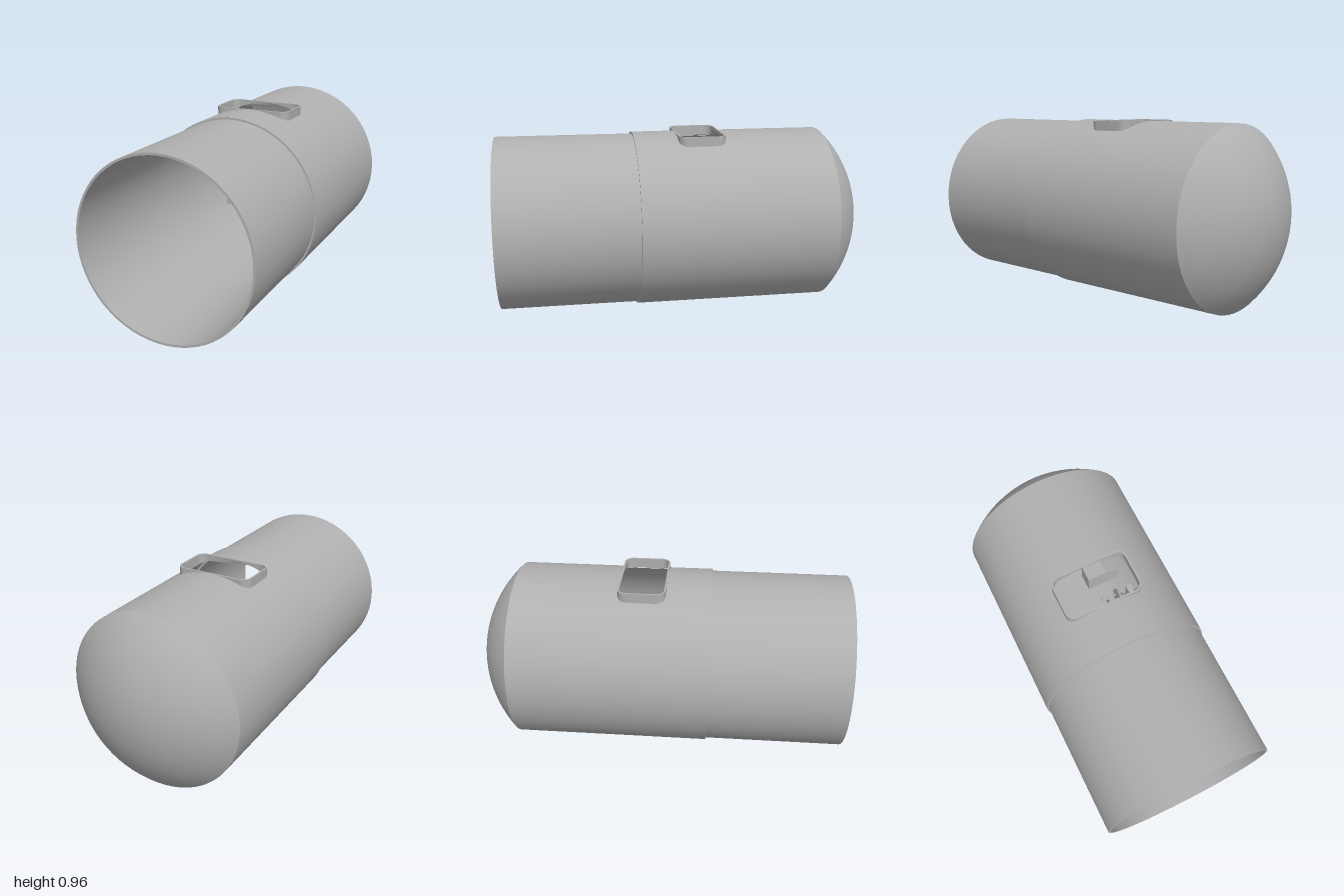
import * as THREE from 'three';
import { mergeGeometries, toCreasedNormals } from 'three/addons/utils/BufferGeometryUtils.js';

const AXIS_Y = 0.4825, R_OUT = 0.482, R_MID = 0.472, R_IN = 0.46;
const Z_BACK = -0.79, Z_STEP = 0.26;
const HATCH = { z: -0.1025, w: 0.215, d: 0.1275, r: 0.05 };

const grey = new THREE.MeshStandardMaterial({ color: 0xb0b0b0 });
grey.name = 'grey metal';

function add(parent, name, geometry, x = 0, y = 0, z = 0) {
  const mesh = new THREE.Mesh(geometry, grey);
  mesh.name = name;
  mesh.position.set(x, y, z);
  parent.add(mesh);
  return mesh;
}

// Profile of [radius, distance] turned around the z axis
function turned(profile, segments = 64) {
  const points = profile.map(([r, d]) => new THREE.Vector2(r, d));
  return toCreasedNormals(new THREE.LatheGeometry(points, segments).rotateX(Math.PI / 2), 0.6);
}

// Sample positions across the rounded hatch, denser in the corners
function hatchXs(w, r) {
  const xs = [];
  for (let i = 0; i <= 8; i++) xs.push(-w + r - r * Math.cos((i / 8) * Math.PI / 2));
  for (let i = 1; i < 20; i++) xs.push((w - r) * (i / 10 - 1));
  return [...xs, ...xs.slice(0, 9).reverse().map((x) => -x)];
}

function hatchDepth(x, w, d, r) {
  const k = Math.max(0, Math.abs(x) - (w - r));
  return d - r + Math.sqrt(Math.max(0, r * r - k * k));
}

// Cylinder wall before or behind the hatch, with the hatch cut away
function wall(radius, front, inward) {
  const { z, w, d, r } = HATCH;
  const cols = hatchXs(w, r).map((x) => ({ t: Math.asin(x / radius), h: hatchDepth(x, w, d, r) }));
  const edge = Math.asin(w / radius);
  for (let i = 0; i <= 60; i++) {
    cols.push({ t: edge + (i / 60) * (2 * Math.PI - 2 * edge), h: 0 });
  }
  const geo = new THREE.PlaneGeometry(1, 1, cols.length - 1, 1);
  const { position, normal } = geo.attributes;
  const sign = inward ? -1 : 1;
  cols.forEach(({ t, h }, i) => {
    const ends = front ? [z + h, Z_STEP] : [Z_BACK, z - h];
    if (inward) ends.reverse();
    ends.forEach((endZ, row) => {
      const k = row * cols.length + i;
      position.setXYZ(k, radius * Math.sin(t), radius * Math.cos(t), endZ);
      normal.setXYZ(k, sign * Math.sin(t), sign * Math.cos(t), 0);
    });
  });
  return geo;
}

function hatchOutline(inset) {
  const w = HATCH.w - inset, d = HATCH.d - inset, r = HATCH.r - inset;
  const xs = hatchXs(w, r);
  const lower = xs.map((x) => new THREE.Vector2(x, -hatchDepth(x, w, d, r)));
  const upper = xs.map((x) => new THREE.Vector2(x, hatchDepth(x, w, d, r))).reverse();
  return [...lower, ...upper];
}

// Flat-topped rim whose lower edge follows the curved hull
function hatchRim() {
  const shape = new THREE.Shape(hatchOutline(0));
  shape.holes.push(new THREE.Path(hatchOutline(0.01)));
  const geo = new THREE.ExtrudeGeometry(shape, { depth: 1, bevelEnabled: false });
  geo.rotateX(-Math.PI / 2);
  const p = geo.attributes.position;
  for (let i = 0; i < p.count; i++) {
    const hullY = AXIS_Y + Math.sqrt((R_MID + 0.002) ** 2 - p.getX(i) ** 2);
    p.setY(i, p.getY(i) > 0.5 ? 0.965 : hullY);
  }
  return toCreasedNormals(geo, 0.6);
}

// Coupling lying along x, seen through the hatch
function makeCoupling() {
  const group = new THREE.Group();
  group.name = 'coupling';
  group.position.set(0, 0.453, -0.125);
  const rod = (name, x0, x1, r, y = 0, z = 0, sides = 32) =>
    add(group, name, new THREE.CylinderGeometry(r, r, x1 - x0, sides).rotateZ(Math.PI / 2), (x0 + x1) / 2, y, z);

  // Ribbed end
  rod('ribbedCore', -0.049, 0.05, 0.038);
  rod('ribbedMiddle', -0.016, 0.016, 0.041);
  for (let i = 0; i < 5; i++) {
    for (const x of [-0.05 + i * 0.007, 0.019 + i * 0.007]) rod('rib', x, x + 0.004, 0.043);
  }
  // Neck, flanges and barrel
  rod('neck', 0.05, 0.06, 0.028);
  rod('neckCollar', 0.06, 0.1, 0.037);
  rod('smallFlange', 0.1, 0.112, 0.06);
  rod('shaft', 0.112, 0.163, 0.025);
  rod('largeFlange', 0.163, 0.175, 0.1);
  rod('barrelCollar', 0.175, 0.2, 0.065);
  rod('barrel', 0.2, 0.34, 0.053);
  // Long bolts around the flange
  for (let i = 0; i < 4; i++) {
    const a = (i * Math.PI) / 2;
    const y = 0.077 * Math.sin(a), z = 0.077 * Math.cos(a);
    rod('bolt', 0.08, 0.166, 0.004, y, z, 12);
    rod('boltHead', 0.077, 0.085, 0.009, y, z, 6);
    rod('nut', 0.153, 0.163, 0.009, y, z, 6);
  }
  // Clamp brackets with screws
  for (const x of [0.238, 0.342]) {
    add(group, 'bracket', new THREE.BoxGeometry(0.031, 0.184, 0.12), x, 0.002, 0);
    for (const y of [0.07, -0.07]) {
      add(group, 'screw', new THREE.CylinderGeometry(0.007, 0.007, 0.006, 12).rotateX(Math.PI / 2), x, y, 0.062);
    }
  }
  return group;
}

export function createModel() {
  const model = new THREE.Group();
  model.name = 'vessel';

  // Main hull: inner and outer walls, with the step at its front
  const walls = [];
  for (const front of [true, false]) {
    walls.push(wall(R_OUT, front, false), wall(R_MID, front, true));
  }
  add(model, 'hull', mergeGeometries(walls), 0, AXIS_Y, 0);
  add(model, 'hullStep', new THREE.RingGeometry(R_MID, R_OUT, 64), 0, AXIS_Y, Z_STEP);

  // Narrower open tube at the front
  add(model, 'frontTube', turned([
    [R_MID, 0.25], [R_MID, 1], [R_IN, 1], [R_IN, 0.25], [R_MID, 0.25],
  ]), 0, AXIS_Y, 0);

  // Shallow dome closing the back
  const dome = [];
  const arc = (R, edge, i) => {
    const a = (i / 20) * Math.asin(edge / R);
    dome.push([R * Math.sin(a), -0.342 - R * Math.cos(a)]);
  };
  for (let i = 0; i <= 20; i++) arc(0.658, R_OUT, i);
  for (let i = 20; i >= 0; i--) arc(0.646, R_MID, i);
  add(model, 'rearDome', turned(dome), 0, AXIS_Y, 0);

  add(model, 'hatchRim', hatchRim(), 0, 0, HATCH.z);
  model.add(makeCoupling());

  // Equipment boxes inside
  add(model, 'leftBox', new THREE.BoxGeometry(0.153, 0.184, 0.1), -0.282, 0.333, -0.45);
  const cut = new THREE.Shape([
    [0.084, 0.196], [0.29, 0.196], [0.29, 0.283], [0.202, 0.333], [0.084, 0.333],
  ].map(([x, y]) => new THREE.Vector2(x, y)));
  add(model, 'slopedBox', new THREE.ExtrudeGeometry(cut, { depth: 0.1, bevelEnabled: false }), 0, 0, -0.5);

  return model;
}
